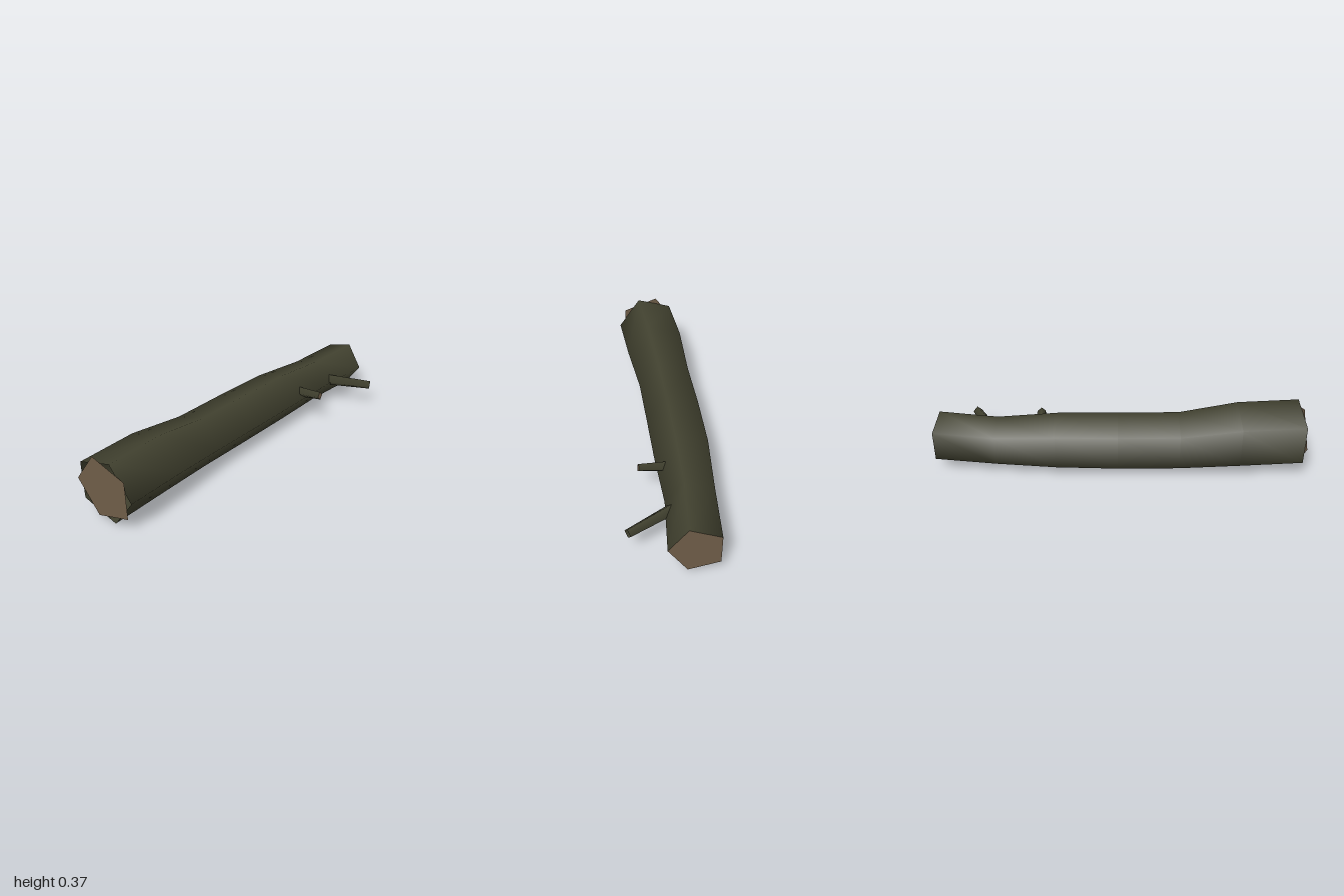
import * as THREE from 'three';

const bark = new THREE.MeshStandardMaterial({ color: 0x41412f, side: THREE.DoubleSide });
bark.name = 'bark';
const cutWood = new THREE.MeshStandardMaterial({ color: 0x6f5d48, side: THREE.DoubleSide });
cutWood.name = 'cutWood';

const SIDES = 5;

// log cross-sections: x, centre y, centre z, radius, lean of x along z
const sections = [
  [-0.985, 0.200, -0.070, 0.181, 0.08],
  [-0.65, 0.192, -0.090, 0.181, 0.05],
  [-0.33, 0.160, -0.105, 0.160, 0.02],
  [0, 0.157, -0.108, 0.160, 0],
  [0.33, 0.157, -0.105, 0.156, -0.03],
  [0.66, 0.148, -0.095, 0.135, -0.06],
  [0.987, 0.160, -0.066, 0.137, -0.09],
];

// points of one five-sided ring, starting at the front corner
function ring([x, cy, cz, r, lean], turn = 0) {
  const points = [];
  for (let j = 0; j < SIDES; j++) {
    const a = turn + (j / SIDES) * Math.PI * 2;
    const dz = r * Math.cos(a);
    points.push([x + lean * dz, cy + r * Math.sin(a), cz + dz]);
  }
  return points;
}

function makeMesh(name, points, index, material) {
  const geometry = new THREE.BufferGeometry();
  geometry.setAttribute('position', new THREE.Float32BufferAttribute(points.flat(), 3));
  geometry.setIndex(index);
  geometry.computeVertexNormals();
  const mesh = new THREE.Mesh(geometry, material);
  mesh.name = name;
  return mesh;
}

// open bark tube lofted through the sections
function makeTrunk() {
  const index = [];
  for (let i = 0; i < sections.length - 1; i++) {
    for (let j = 0; j < SIDES; j++) {
      const k = (j + 1) % SIDES;
      const a = i * SIDES + j, b = i * SIDES + k;
      index.push(a, a + SIDES, b, b, a + SIDES, b + SIDES);
    }
  }
  return makeMesh('trunk', sections.flatMap((s) => ring(s)), index, bark);
}

// flat sawn face closing one end
function makeEnd(name, section, turn, facesRight) {
  const index = [];
  for (let j = 1; j < SIDES - 1; j++) {
    index.push(0, ...(facesRight ? [j + 1, j] : [j, j + 1]));
  }
  return makeMesh(name, ring(section, turn), index, cutWood);
}

// four-sided tapered twig stub
function makeTwig(name, from, to, baseRadius, tipRadius, sawn) {
  const a = new THREE.Vector3(...from), b = new THREE.Vector3(...to);
  const length = a.distanceTo(b);
  const group = new THREE.Group();
  group.name = name;
  const stem = new THREE.Mesh(
    new THREE.CylinderGeometry(tipRadius, baseRadius, length, 4, 1, true).rotateX(Math.PI / 2), bark);
  stem.name = name + 'Stem';
  stem.position.z = length / 2;
  group.add(stem);
  if (sawn) {
    const tip = new THREE.Mesh(new THREE.CircleGeometry(tipRadius, 4), cutWood);
    tip.name = name + 'Tip';
    tip.position.z = length;
    group.add(tip);
  }
  group.position.copy(a);
  group.lookAt(b);
  return group;
}

export function createModel() {
  const model = new THREE.Group();
  model.name = 'log';
  model.add(
    makeTrunk(),
    makeEnd('leftSawnEnd', sections[6], 0, true),
    // this face is turned half a side, so its corners poke past the bark
    makeEnd('rightSawnEnd', sections[0], Math.PI / SIDES, false),
    makeTwig('shortTwig', [0.428, 0.18, -0.02], [0.442, 0.2, 0.147], 0.033, 0.024, true),
    makeTwig('longTwig', [0.7, 0.157, -0.01], [0.835, 0.148, 0.24], 0.036, 0.026, false),
  );
  return model;
}
